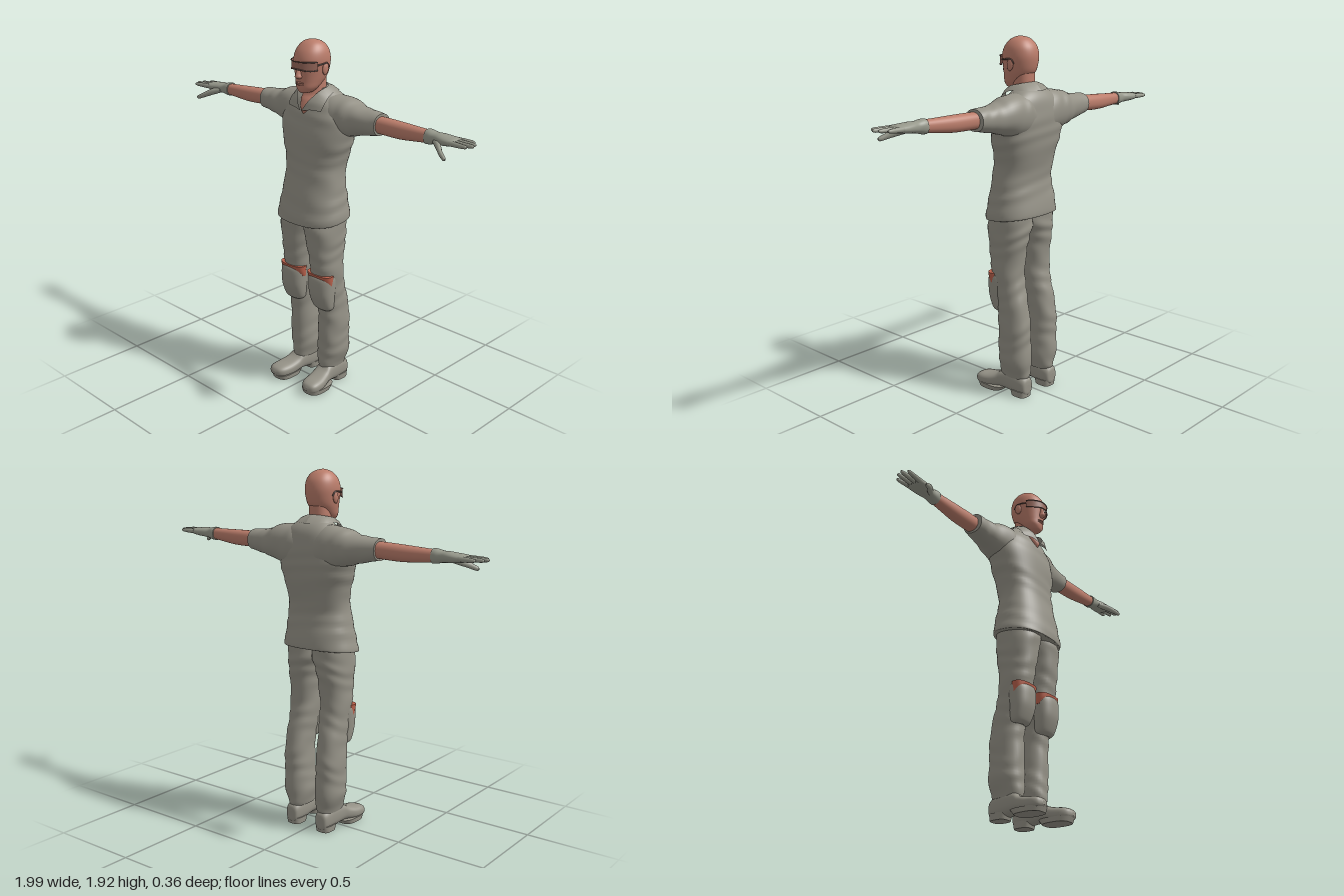
import * as THREE from 'three';

const mat = (name, color, side = THREE.FrontSide) => {
  const m = new THREE.MeshStandardMaterial({ color, side });
  m.name = name;
  return m;
};

// Turn all faces of a closed shape outward, then smooth the normals
function outward(geo) {
  const p = geo.attributes.position, ix = geo.index.array;
  const a = new THREE.Vector3(), b = new THREE.Vector3(), c = new THREE.Vector3();
  let vol = 0;
  for (let i = 0; i < ix.length; i += 3) {
    a.fromBufferAttribute(p, ix[i]);
    b.fromBufferAttribute(p, ix[i + 1]);
    c.fromBufferAttribute(p, ix[i + 2]);
    vol += a.dot(b.cross(c));
  }
  if (vol < 0) ix.reverse();
  geo.computeVertexNormals();
  return geo;
}

// Loft along an axis; each section is [position, uMin, uMax, vMin, vMax]
// (u,v) is (y,z) along x, (x,z) along y and (x,y) along z
function loft(axis, secs, { n = 32, e = 2.3, sub = 5, fold = 0 } = {}) {
  const at = i => secs[Math.max(0, Math.min(secs.length - 1, i))];
  const rows = [];
  for (let i = 0; i < secs.length - 1; i++) {
    for (let j = 0; j < sub; j++) {
      const t = j / sub;
      rows.push(secs[i].map((_, q) => {
        const [a, b, c, d] = [at(i - 1)[q], at(i)[q], at(i + 1)[q], at(i + 2)[q]];
        return b + 0.5 * t * (c - a + t * (2 * a - 5 * b + 4 * c - d + t * (3 * (b - c) + d - a)));
      }));
    }
  }
  rows.push(secs[secs.length - 1]);
  const pos = [], idx = [];
  const put = (p, u, v) => pos.push(...(axis === 'x' ? [p, u, v] : axis === 'y' ? [u, p, v] : [u, v, p]));
  const ring = ([p, u0, u1, v0, v1]) => {
    for (let k = 0; k < n; k++) {
      const t = k / n * Math.PI * 2, c = Math.cos(t), s = Math.sin(t);
      const f = 1 + fold * Math.sin(p * 62 + 2.5 * c + 1.5 * Math.sin(p * 23 + 2 * s));
      const pw = w => Math.sign(w) * Math.abs(w) ** (2 / e) * f / 2;
      put(p, (u0 + u1) / 2 + (u1 - u0) * pw(c), (v0 + v1) / 2 + (v1 - v0) * pw(s));
    }
  };
  rows.forEach(ring);
  for (let r = 0; r < rows.length - 1; r++) {
    for (let k = 0; k < n; k++) {
      const a = r * n + k, b = r * n + (k + 1) % n;
      idx.push(a, b, a + n, b, b + n, a + n);
    }
  }
  // End caps with their own corners, so hems stay crisp
  [rows[0], rows[rows.length - 1]].forEach((row, end) => {
    const base = pos.length / 3;
    ring(row);
    put(row[0], (row[1] + row[2]) / 2, (row[3] + row[4]) / 2);
    for (let k = 0; k < n; k++) {
      const a = base + k, b = base + (k + 1) % n;
      idx.push(...(end ? [a, b, base + n] : [b, a, base + n]));
    }
  });
  const geo = new THREE.BufferGeometry();
  geo.setAttribute('position', new THREE.Float32BufferAttribute(pos, 3));
  geo.setIndex(idx);
  return outward(geo);
}

// Move every vertex by a rule
function warp(geo, rule) {
  const p = geo.attributes.position, v = new THREE.Vector3();
  for (let i = 0; i < p.count; i++) {
    rule(v.fromBufferAttribute(p, i));
    p.setXYZ(i, v.x, v.y, v.z);
  }
  return outward(geo);
}

const curve = pts => new THREE.CatmullRomCurve3(pts.map(p => new THREE.Vector3(...p)));

// Open strip between two curves
function ribbon(inner, outer, steps = 16) {
  const a = curve(inner).getPoints(steps), b = curve(outer).getPoints(steps), pos = [], idx = [];
  for (let i = 0; i <= steps; i++) {
    const m = a[i].clone().lerp(b[i], 0.5);
    m.y += 0.006;
    m.z += i < steps / 2 ? 0.006 : -0.004;
    pos.push(...a[i].toArray(), ...m.toArray(), ...b[i].toArray());
    if (i < steps) for (const k of [i * 3, i * 3 + 1]) idx.push(k, k + 1, k + 3, k + 1, k + 4, k + 3);
  }
  const geo = new THREE.BufferGeometry();
  geo.setAttribute('position', new THREE.Float32BufferAttribute(pos, 3));
  geo.setIndex(idx);
  geo.computeVertexNormals();
  return geo;
}

export function createModel() {
  const model = new THREE.Group();
  model.name = 'worker';
  const cloth = mat('grey cloth', 0x959287, THREE.DoubleSide);
  const glove = mat('glove grey', 0x96988b);
  const skin = mat('skin', 0xbb7d6b);
  const lens = mat('goggle lens', 0x96685b, THREE.DoubleSide);
  const frame = mat('goggle frame', 0x6f574f);
  const red = mat('knee strap red', 0xb9614c);
  const add = (name, geo, material) => {
    const m = new THREE.Mesh(geo, material);
    m.name = name;
    model.add(m);
  };

  // Shirt body, hem dipping at the front
  add('shirtBody', warp(loft('y', [
    [0.985, -0.197, 0.203, -0.158, 0.135], [1.0, -0.203, 0.209, -0.163, 0.14], [1.1, -0.185, 0.197, -0.152, 0.12],
    [1.2, -0.168, 0.183, -0.14, 0.1], [1.3, -0.175, 0.183, -0.155, 0.088], [1.4, -0.208, 0.21, -0.172, 0.085],
    [1.48, -0.222, 0.222, -0.178, 0.075], [1.55, -0.205, 0.205, -0.175, 0.06], [1.61, -0.165, 0.165, -0.165, 0.035],
    [1.65, -0.115, 0.115, -0.14, 0.0], [1.68, -0.072, 0.072, -0.1, -0.01],
  ], { n: 48, e: 2.4, sub: 6, fold: 0.012 }), v => {
    v.y -= v.z * 0.12 * Math.max(0, 1 - (v.y - 0.985) / 0.15);
  }), cloth);

  // Shoulders and short sleeves in one piece
  const half = [
    [0.08, 1.42, 1.645, -0.175, 0.03], [0.15, 1.43, 1.648, -0.175, 0.025], [0.22, 1.448, 1.635, -0.17, 0.015],
    [0.28, 1.465, 1.613, -0.155, 0.0], [0.35, 1.48, 1.605, -0.142, -0.01], [0.41, 1.49, 1.6, -0.134, -0.013],
  ];
  const other = half.map(([x, ...r]) => [-x, ...r]).reverse();
  add('shouldersAndSleeves', loft('x', [...other, [0, 1.42, 1.6, -0.17, 0.03], ...half],
    { n: 40, e: 2.2, fold: 0.018 }), cloth);

  // Neck with the open V of the chest
  add('neck', loft('y', [
    [1.545, -0.008, 0.008, 0.0, 0.055], [1.575, -0.026, 0.026, -0.03, 0.07], [1.62, -0.052, 0.052, -0.07, 0.055],
    [1.66, -0.056, 0.056, -0.08, 0.03], [1.75, -0.054, 0.054, -0.08, 0.02],
  ]), skin);

  // Head
  add('head', loft('y', [
    [1.66, -0.015, 0.015, 0.03, 0.068], [1.667, -0.036, 0.036, 0.0, 0.079], [1.69, -0.057, 0.057, -0.025, 0.086],
    [1.72, -0.068, 0.068, -0.06, 0.087], [1.75, -0.076, 0.076, -0.086, 0.089], [1.79, -0.083, 0.083, -0.098, 0.092],
    [1.83, -0.086, 0.086, -0.101, 0.094], [1.87, -0.079, 0.079, -0.092, 0.08], [1.9, -0.061, 0.061, -0.07, 0.056],
    [1.917, -0.037, 0.037, -0.044, 0.031], [1.925, -0.006, 0.006, -0.01, 0.004],
  ], { n: 40, e: 2.15 }), skin);
  add('nose', loft('y', [
    [1.736, -0.008, 0.008, 0.07, 0.098], [1.746, -0.018, 0.018, 0.07, 0.114], [1.765, -0.013, 0.013, 0.07, 0.111],
    [1.8, -0.009, 0.009, 0.07, 0.099], [1.82, -0.006, 0.006, 0.07, 0.094],
  ], { n: 16, e: 2 }), skin);
  for (const y of [1.706, 1.715]) {
    const lip = new THREE.SphereGeometry(1, 16, 8);
    lip.scale(0.025, 0.005, 0.012).translate(0, y, 0.083);
    add('lip', lip, skin);
  }

  // Wraparound goggles
  const shield = new THREE.CylinderGeometry(1, 1, 0.042, 32, 1, true, -1.15, 2.3);
  shield.scale(0.094, 1, 0.109).translate(0, 1.803, 0);
  add('goggleLens', shield, lens);
  const rim = y => Array.from({ length: 13 }, (_, i) => {
    const t = -1.15 + i * 2.3 / 12;
    return [0.095 * Math.sin(t), y - (y < 1.8 ? 0.008 * Math.sin(2 * t) ** 2 - 0.006 : 0), 0.11 * Math.cos(t)];
  });
  for (const y of [1.824, 1.782]) add('goggleRim', new THREE.TubeGeometry(curve(rim(y)), 36, 0.003, 6), frame);

  // Collar halves, ears and goggle temples
  for (const s of [1, -1]) {
    const mx = pts => pts.map(([x, y, z]) => [s * x, y, z]);
    add('collar', ribbon(
      mx([[0.004, 1.572, 0.08], [0.038, 1.622, 0.066], [0.07, 1.672, 0.015], [0.068, 1.69, -0.05], [0, 1.698, -0.088]]),
      mx([[0.115, 1.58, 0.052], [0.12, 1.615, 0.03], [0.112, 1.655, -0.025], [0.085, 1.66, -0.115], [0, 1.655, -0.148]]),
    ), cloth);
    const ear = new THREE.SphereGeometry(1, 16, 12);
    ear.scale(0.01, 0.032, 0.02).rotateX(-0.15).translate(s * 0.087, 1.785, -0.01);
    add('ear', ear, skin);
    add('goggleTemple', new THREE.TubeGeometry(curve(mx(
      [[0.087, 1.808, 0.045], [0.092, 1.812, 0.015], [0.09, 1.812, -0.02], [0.087, 1.79, -0.036]])), 16, 0.004, 6), frame);
  }

  for (const s of [1, -1]) {
    // Arms: mirrored, then each bent to its own pose
    const arm = (name, secs, m, opt) => add(name, warp(loft('x', secs, opt), v => {
      const k = Math.max(0, (v.x - 0.41) / 0.59);
      v.y += (s > 0 ? 0.02 : -0.008) * k;
      v.z += s > 0 ? 0.005 + 0.032 * k : -0.008 + 0.008 * k;
      v.x *= s;
    }), m);
    arm('forearm', [
      [0.37, 1.505, 1.587, -0.115, -0.03], [0.45, 1.501, 1.586, -0.116, -0.03], [0.55, 1.499, 1.582, -0.113, -0.031],
      [0.65, 1.506, 1.577, -0.106, -0.036], [0.74, 1.514, 1.573, -0.101, -0.041],
    ], skin);
    arm('gloveHand', [
      [0.715, 1.507, 1.58, -0.107, -0.035], [0.735, 1.508, 1.579, -0.107, -0.035], [0.765, 1.515, 1.572, -0.104, -0.036],
      [0.8, 1.518, 1.571, -0.112, -0.028], [0.84, 1.521, 1.567, -0.118, -0.022], [0.88, 1.527, 1.563, -0.118, -0.023],
      [0.896, 1.537, 1.555, -0.11, -0.033],
    ], glove);
    [[-0.106, -0.117, 0.958], [-0.082, -0.086, 0.986], [-0.058, -0.056, 0.996], [-0.035, -0.026, 0.978]].forEach(([z0, z1, tip]) => {
      const f = (x, t, r) => {
        const z = z0 + (z1 - z0) * t;
        return [x, 1.545 - r, 1.545 + r, z - r, z + r];
      };
      arm('gloveFinger', [f(0.865, 0, 0.014), f(0.91, 0.4, 0.0125), f(tip - 0.02, 0.85, 0.01), f(tip - 0.005, 0.95, 0.007),
        f(tip, 1, 0.002)], glove, { n: 12, e: 2, sub: 3 });
    });
    arm('gloveThumb', [
      [0.775, 1.52, 1.55, -0.065, -0.032], [0.82, 1.504, 1.541, -0.037, 0.0], [0.86, 1.488, 1.518, -0.002, 0.025],
      [0.89, 1.478, 1.501, 0.016, 0.036], [0.9, 1.483, 1.493, 0.024, 0.033],
    ], glove, { n: 16, e: 2 });

    // Legs
    const leg = (name, axis, secs, m, opt) => add(name, warp(loft(axis, secs, opt), v => { v.x = s * v.x + 0.005; }), m);
    leg('trouserLeg', 'y', [
      [0.105, 0.045, 0.148, -0.143, 0.028], [0.13, 0.04, 0.155, -0.15, 0.03], [0.2, 0.028, 0.176, -0.158, 0.03],
      [0.3, 0.033, 0.178, -0.154, 0.03], [0.4, 0.037, 0.179, -0.154, 0.03], [0.5, 0.038, 0.175, -0.14, 0.04],
      [0.6, 0.028, 0.176, -0.115, 0.06], [0.7, 0.022, 0.18, -0.1, 0.08], [0.8, 0.015, 0.18, -0.11, 0.095],
      [0.88, 0.002, 0.183, -0.122, 0.106], [0.95, -0.02, 0.185, -0.13, 0.111], [1.03, -0.02, 0.178, -0.125, 0.1],
    ], cloth, { n: 36, sub: 7, fold: 0.022 });
    leg('kneePad', 'y', [
      [0.475, 0.065, 0.155, -0.02, 0.042], [0.495, 0.045, 0.17, -0.02, 0.063], [0.56, 0.033, 0.178, -0.025, 0.088],
      [0.62, 0.028, 0.181, -0.03, 0.093], [0.665, 0.027, 0.181, -0.03, 0.089], [0.685, 0.033, 0.174, -0.02, 0.074],
    ], cloth, { e: 2.4 });
    leg('kneeStrap', 'y', [[0.63, 0.024, 0.181, 0.005, 0.06], [0.66, 0.021, 0.183, 0.002, 0.078], [0.69, 0.018, 0.185, 0.0, 0.084]],
      red, { e: 2.5 });

    // Boots with a separate heel and front sole
    leg('boot', 'z', [
      [-0.156, 0.085, 0.115, 0.03, 0.075], [-0.145, 0.062, 0.138, 0.014, 0.11], [-0.08, 0.052, 0.148, 0.012, 0.135],
      [0.0, 0.055, 0.155, 0.022, 0.128], [0.04, 0.055, 0.165, 0.022, 0.102], [0.09, 0.06, 0.178, 0.013, 0.087],
      [0.14, 0.07, 0.18, 0.014, 0.08], [0.168, 0.088, 0.168, 0.022, 0.07], [0.18, 0.115, 0.142, 0.035, 0.053],
    ], cloth, { e: 2.6 });
    leg('bootHeel', 'y', [[0, 0.058, 0.143, -0.15, -0.055], [0.035, 0.055, 0.146, -0.153, -0.045]], cloth, { e: 3.2, sub: 1 });
    leg('bootSole', 'y', [[0.004, 0.062, 0.178, 0.01, 0.165], [0.03, 0.06, 0.181, -0.01, 0.176]], cloth, { e: 2.8, sub: 1 });
  }
  return model;
}
